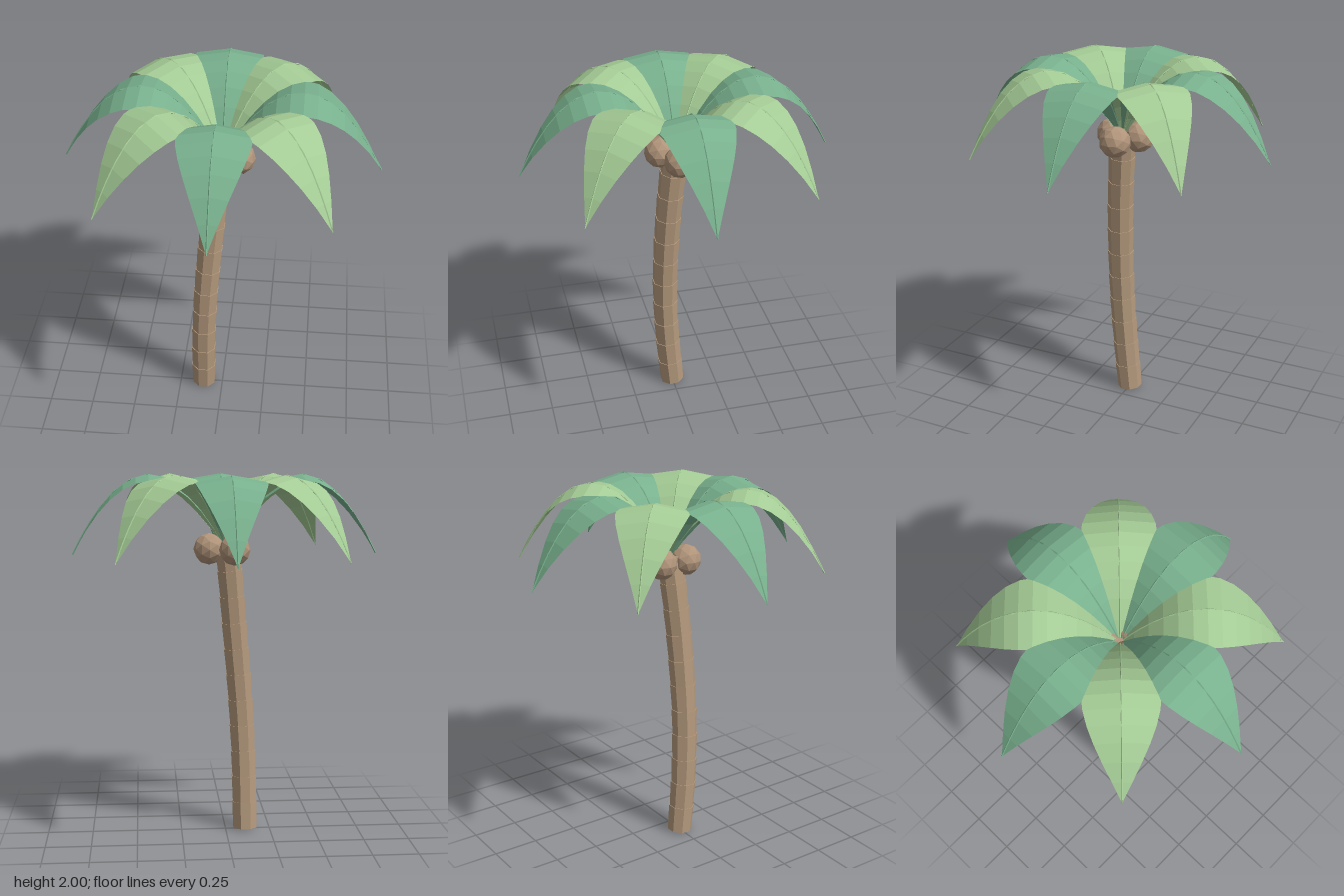
import * as THREE from 'three';

const mat = (name, color, side = THREE.FrontSide) => {
  const m = new THREE.MeshStandardMaterial({ color, side, flatShading: true });
  m.name = name;
  return m;
};

// Centre line of a frond in its own plane: r outwards along +x
const frondCurve = new THREE.QuadraticBezierCurve3(
  new THREE.Vector3(0, 1.59, 0),
  new THREE.Vector3(0.415, 2.41, 0),
  new THREE.Vector3(0.83, 1.565, 0)
);

// Pointed leaf folded along the middle, with drooping edges
function frondGeometry(steps = 12) {
  const pos = [];
  const index = [];
  for (let i = 0; i <= steps; i++) {
    const t = i / steps;
    const p = frondCurve.getPoint(t);
    const w = 0.187 * Math.sin(Math.PI * t);
    for (const s of [-1, 0, 1]) pos.push(p.x, p.y - Math.abs(s) * w * 0.17, s * w);
    if (i === steps) break;
    for (let k = 0; k < 2; k++) {
      const a = i * 3 + k, b = a + 3;
      index.push(a, a + 1, b, a + 1, b + 1, b);
    }
  }
  const g = new THREE.BufferGeometry();
  g.setAttribute('position', new THREE.Float32BufferAttribute(pos, 3));
  g.setIndex(index);
  g.computeVertexNormals();
  return g;
}

export function createModel() {
  const model = new THREE.Group();
  model.name = 'palmTree';
  const bark = mat('bark', 0xb59a7d);
  const husk = mat('coconutHusk', 0xb0947a);
  const greens = [
    mat('deepGreenLeaf', 0x78b08d, THREE.DoubleSide),
    mat('lightGreenLeaf', 0xa4cb95, THREE.DoubleSide),
  ];

  // Trunk: stacked, slightly flared segments along a bent path
  const path = new THREE.CatmullRomCurve3([
    [-0.11, 0.008, 0], [-0.106, 0.35, 0.03], [-0.09, 0.7, 0.045],
    [-0.053, 1.15, 0.035], [-0.024, 1.48, 0.012], [-0.008, 1.62, 0],
  ].map((p) => new THREE.Vector3(...p)));
  const trunk = new THREE.Group();
  trunk.name = 'trunk';
  const count = 11;
  const up = new THREE.Vector3(0, 1, 0);
  for (let i = 0; i < count; i++) {
    const a = path.getPointAt(i / count);
    const b = path.getPointAt((i + 1) / count);
    const dir = b.clone().sub(a);
    const seg = new THREE.Mesh(
      new THREE.CylinderGeometry(0.073, 0.069, dir.length() + 0.004, 8), bark);
    seg.name = 'trunkSegment';
    seg.position.copy(a).add(b).multiplyScalar(0.5);
    seg.quaternion.setFromUnitVectors(up, dir.normalize());
    seg.rotateY(Math.PI / 8);
    trunk.add(seg);
  }
  model.add(trunk);

  // Three coconuts under the crown
  for (let i = 0; i < 3; i++) {
    const a = (i * Math.PI * 2) / 3;
    const nut = new THREE.Mesh(new THREE.IcosahedronGeometry(0.086, 1), husk);
    nut.name = 'coconut';
    nut.position.set(0.09 * Math.cos(a), 1.593, 0.09 * Math.sin(a));
    model.add(nut);
  }

  // Crown: eight fronds in alternating greens, each with a thin midrib
  const leafGeo = frondGeometry();
  const ribGeo = new THREE.TubeGeometry(frondCurve, 12, 0.004, 4);
  for (let i = 0; i < 8; i++) {
    const frond = new THREE.Group();
    frond.name = 'frond';
    const leaf = new THREE.Mesh(leafGeo, greens[i % 2]);
    leaf.name = 'leaf';
    const rib = new THREE.Mesh(ribGeo, greens[i % 2]);
    rib.name = 'midrib';
    frond.add(leaf, rib);
    frond.rotation.y = (i * Math.PI) / 4;
    model.add(frond);
  }
  return model;
}
